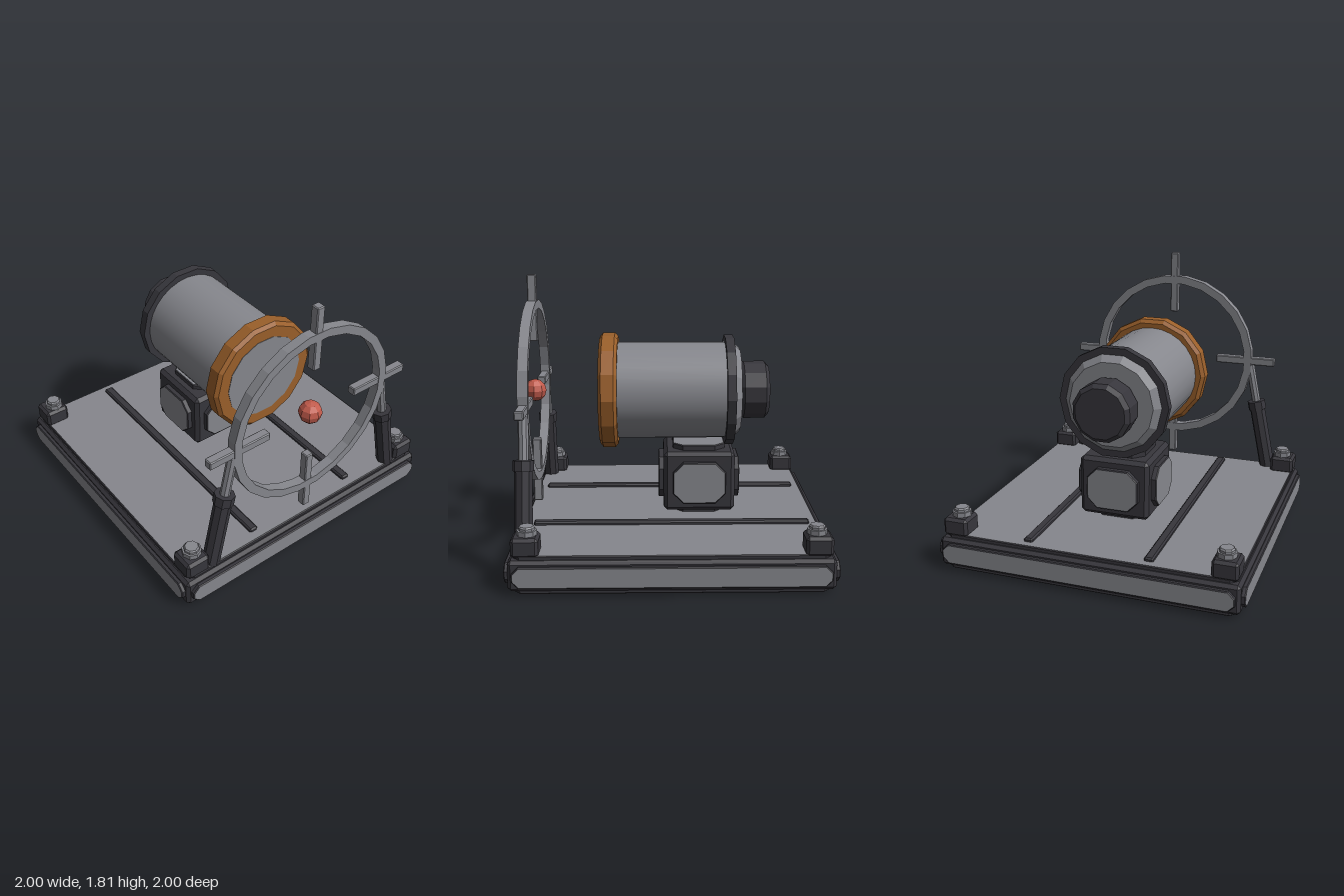
import * as THREE from 'three';
import { ConvexGeometry } from 'three/addons/geometries/ConvexGeometry.js';

const material = (name, color) => {
  const m = new THREE.MeshStandardMaterial({ color });
  m.name = name;
  return m;
};

export function createModel() {
  const grey = material('steel grey', 0x86878d);
  const dark = material('charcoal', 0x37363c);
  const orange = material('burnt orange', 0x9a5f2a);
  const red = material('coral red', 0xc25b4c);

  const model = new THREE.Group();
  model.name = 'turret';

  const add = (name, geometry, mat, x = 0, y = 0, z = 0, parent = model) => {
    const mesh = new THREE.Mesh(geometry, mat);
    mesh.name = name;
    mesh.position.set(x, y, z);
    parent.add(mesh);
    return mesh;
  };

  // Facet every polygon
  const flat = (geometry) => {
    const g = geometry.index ? geometry.toNonIndexed() : geometry;
    g.computeVertexNormals();
    return g;
  };

  // Box with chamfered edges and corners
  const chamferBox = (w, h, d, c) => {
    const points = [];
    for (const sx of [-1, 1]) for (const sy of [-1, 1]) for (const sz of [-1, 1]) {
      for (let axis = 0; axis < 3; axis++) {
        const inset = [c, c, c];
        inset[axis] = 0;
        points.push(new THREE.Vector3(
          sx * (w / 2 - inset[0]), sy * (h / 2 - inset[1]), sz * (d / 2 - inset[2])));
      }
    }
    return new ConvexGeometry(points);
  };

  // Raised plate with cut corners: grey face, dark edge
  const plate = (w, h, depth, cut) => {
    const x = w / 2, y = h / 2;
    const outline = [[x - cut, -y], [x, -y + cut], [x, y - cut], [x - cut, y],
      [cut - x, y], [-x, y - cut], [-x, cut - y], [cut - x, -y]];
    const shape = new THREE.Shape(outline.map(([a, b]) => new THREE.Vector2(a, b)));
    const bevel = 0.006;
    return new THREE.ExtrudeGeometry(shape, {
      depth: depth - bevel, bevelEnabled: true, bevelSegments: 1,
      bevelThickness: bevel, bevelSize: bevel, bevelOffset: -bevel / 2,
    });
  };

  // Chamfered dark box carrying a raised plate on each of its six faces
  const panelBox = (name, w, h, d, c, pw, ph, pd, bump, cut, y, z) => {
    const group = new THREE.Group();
    group.name = name;
    group.position.set(0, y, z);
    model.add(group);
    add(name + 'Core', chamferBox(w, h, d, c), dark, 0, 0, 0, group);
    for (let i = 0; i < 4; i++) {
      const side = i % 2 === 1;
      const p = add(name + 'SidePanel', plate(side ? pd : pw, ph, bump, cut), [grey, dark], 0, 0, 0, group);
      p.rotation.y = i * Math.PI / 2;
      p.translateZ((side ? w : d) / 2);
    }
    for (const s of [-1, 1]) {
      const p = add(name + (s > 0 ? 'TopPanel' : 'BottomPanel'), plate(pw, pd, bump, cut), [grey, dark], 0, 0, 0, group);
      p.rotation.x = -s * Math.PI / 2;
      p.translateZ(h / 2);
    }
  };

  // Revolved profile of [radius, z] pairs around the z axis
  const revolve = (profile, sides) => new THREE.LatheGeometry(
    profile.map(([r, z]) => new THREE.Vector2(r, z)), sides, Math.PI / sides).rotateX(Math.PI / 2);

  // Base slab and pedestal
  panelBox('base', 1.95, 0.19, 1.95, 0.02, 1.89, 0.125, 1.89, 0.025, 0.04, 0.117, 0);
  panelBox('pedestal', 0.47, 0.4, 0.47, 0.025, 0.34, 0.27, 0.34, 0.035, 0.065, 0.463, -0.19);

  // Deck rails
  for (const s of [-1, 1]) {
    add('deckRail', chamferBox(0.06, 0.035, 1.78, 0.01), dark, s * 0.395, 0.242, -0.005);
  }

  // Corner blocks with bolts
  for (const sx of [-1, 1]) for (const sz of [-1, 1]) {
    add('cornerBlock', chamferBox(0.165, 0.12, 0.165, 0.018), dark, sx * 0.873, 0.283, sz * 0.873);
    const bolt = new THREE.LatheGeometry([[0, 0], [0.062, 0], [0.062, 0.035], [0.05, 0.035], [0.05, 0.05],
      [0.042, 0.06], [0, 0.06]].map(([r, y]) => new THREE.Vector2(r, y)), 8);
    add('cornerBolt', flat(bolt), grey, sx * 0.865, 0.338, sz * 0.865);
  }

  // Barrel housing along z
  const axisY = 1.04;
  const barrel = new THREE.CylinderGeometry(0.322, 0.322, 0.74, 28, 1, true).rotateX(Math.PI / 2);
  add('barrel', barrel, grey, 0, axisY, -0.005);
  add('frontCollar', flat(revolve([[0, 0.345], [0.36, 0.345], [0.385, 0.365], [0.385, 0.445],
    [0.362, 0.465], [0, 0.465]], 14)), orange, 0, axisY);
  add('frontLens', flat(revolve([[0.287, 0.46], [0.287, 0.468], [0, 0.468]], 14)), grey, 0, axisY);
  add('rearFlange', flat(revolve([[0, -0.42], [0.367, -0.42], [0.367, -0.362], [0, -0.362]], 14)),
    dark, 0, axisY);
  add('rearCap', flat(revolve([[0, -0.463], [0.28, -0.463], [0.322, -0.42], [0.322, -0.4]], 14)),
    grey, 0, axisY);
  add('rearKnob', flat(revolve([[0, -0.655], [0.165, -0.655], [0.192, -0.63], [0.192, -0.49],
    [0.17, -0.46], [0, -0.46]], 12)), dark, 0, axisY);

  // Sight ring, cross bars and centre bead
  const sightZ = 0.903;
  add('sightRing', flat(revolve([[0.547, -0.032], [0.603, -0.032], [0.603, 0.032], [0.547, 0.032],
    [0.547, -0.032]], 24)), grey, 0, axisY, sightZ);
  for (let i = 0; i < 4; i++) {
    const bar = add('sightBar', chamferBox(0.435, 0.055, 0.058, 0.006), grey, 0, axisY, sightZ);
    bar.rotation.z = i * Math.PI / 2;
    bar.translateX(0.551);
  }
  add('sightBead', flat(new THREE.SphereGeometry(0.075, 8, 6)), red, 0, axisY, sightZ);

  // Leaning struts that hold the ring
  for (const s of [-1, 1]) {
    const foot = new THREE.Vector3(s * 0.75, 0.22, sightZ);
    const head = new THREE.Vector3(s * 0.585, 1.02, sightZ);
    const tube = (name, t0, t1, r, sides, mat) => {
      const a = foot.clone().lerp(head, t0), b = foot.clone().lerp(head, t1);
      const mesh = add(name, flat(new THREE.CylinderGeometry(r, r, a.distanceTo(b), sides)), mat);
      mesh.position.copy(a).lerp(b, 0.5);
      mesh.quaternion.setFromUnitVectors(new THREE.Vector3(0, 1, 0), b.sub(a).normalize());
    };
    tube('strutSleeve', 0, 0.6, 0.056, 8, dark);
    tube('strutCollar', 0.565, 0.645, 0.066, 8, dark);
    tube('strutRod', 0.6, 1, 0.032, 8, grey);
  }

  return model;
}
